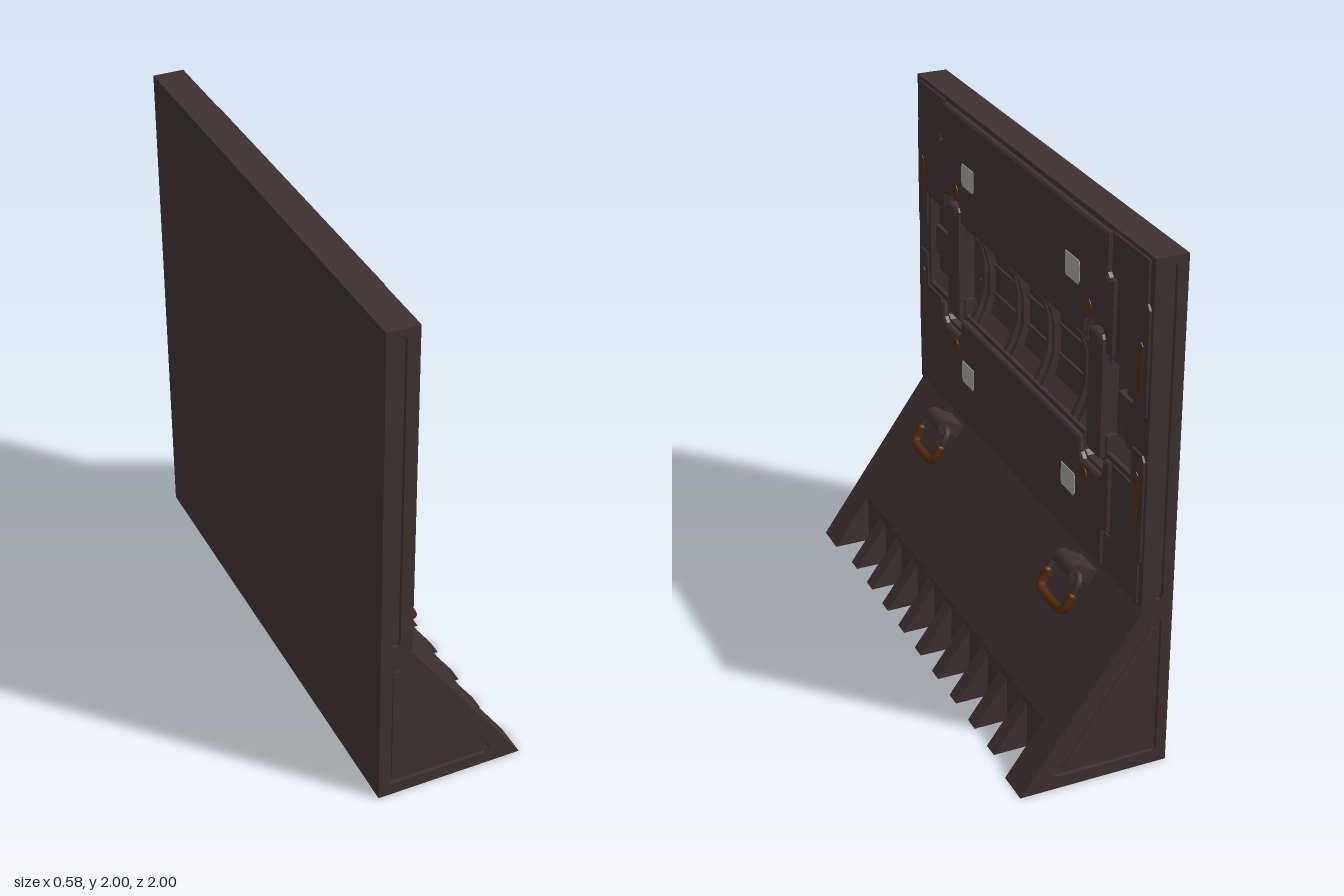
import * as THREE from 'three';

const mat = (name, color) => {
  const m = new THREE.MeshStandardMaterial({ color });
  m.name = name;
  return m;
};

export function createModel() {
  const group = new THREE.Group();
  group.name = 'barrierShield';
  const steel = mat('dark steel', 0x3d3132);
  const orange = mat('burnt orange', 0x502b0c);
  const light = mat('light grey', 0xa09d9b);

  const add = (name, geo, m = steel, parent = group) => {
    const mesh = new THREE.Mesh(geo, m);
    mesh.name = name;
    parent.add(mesh);
    return mesh;
  };
  const shapeOf = (pts) => new THREE.Shape(pts.map(([x, y]) => new THREE.Vector2(x, y)));
  const box = (name, x0, x1, y0, y1, z0, z1, m) =>
    add(name, new THREE.BoxGeometry(x1 - x0, y1 - y0, z1 - z0)
      .translate((x0 + x1) / 2, (y0 + y1) / 2, (z0 + z1) / 2), m);
  // side profile (x, y) stretched from z0 to z1
  const along = (name, pts, z0, z1, holes = []) => {
    const s = shapeOf(pts);
    s.holes = holes.map(shapeOf);
    return add(name, new THREE.ExtrudeGeometry(s, { depth: z1 - z0, bevelEnabled: false }).translate(0, 0, z0));
  };
  // face outline (-z, y) thickened from x0 to x1, optionally with a bevelled front
  const plate = (name, pts, x0, x1, m = steel, holes = [], bevel = 0) => {
    const s = shapeOf(pts);
    s.holes = holes.map(shapeOf);
    const geo = new THREE.ExtrudeGeometry(s, {
      depth: x1 - x0 - bevel, bevelEnabled: bevel > 0, bevelThickness: bevel,
      bevelSize: bevel, bevelOffset: -bevel, bevelSegments: 1, curveSegments: 8,
    });
    return add(name, geo.rotateY(Math.PI / 2).translate(x0, 0, 0), m);
  };
  const flipX = (pts) => pts.map(([x, y]) => [-x, y]).reverse();
  const flipY = (pts) => pts.map(([x, y]) => [x, 2.67 - y]).reverse();

  const BACK = -0.29, FACE = -0.168, FLOOR = -0.26, END = 0.985;

  // wall: back sheet plus front layer pierced by the central recess
  box('backSheet', BACK, FLOOR, 0, 2, -END, END);
  const recessTop = [[-0.88, 1.52], [-0.71, 1.52], [-0.7, 1.59], [-0.68, 1.605], [-0.56, 1.605], [-0.54, 1.59], [-0.53, 1.52]];
  const topHalf = [...recessTop, ...flipX(recessTop)];
  plate('wallFace', [[-END, 0.67], [END, 0.67], [END, 2], [-END, 2]], FLOOR, FACE, steel,
    [[...topHalf, ...topHalf.map(([x, y]) => [x, 2.67 - y]).reverse()]]);

  // wedge foot with a stepped front edge
  const slopeX = (y) => 0.29 - y * 0.47 / 0.67;
  along('wedgeFoot', [[FLOOR, 0], [0.14, 0], [0.14, 0.214], [-0.18, 0.67], [FLOOR, 0.67]], -END, END);
  for (const s of [-1, 1]) {
    const a = s * 0.87, b = s * END;
    along('wedgeEndBlock', [[0.14, 0], [0.29, 0], [0.14, 0.214]], Math.min(a, b), Math.max(a, b));
  }
  for (let i = -4; i <= 4; i++) {
    along('footTooth', [[0.14, 0], [0.272, 0], [0.14, 0.185]], i * 0.175 - 0.031, i * 0.175 + 0.031);
  }

  // end frames with a sunken triangle and a long groove
  const outline = [[BACK, 0], [0.29, 0], [-0.18, 0.67], [FACE, 0.67], [FACE, 2], [BACK, 2]];
  const triangle = [[-0.25, 0.06], [-0.24, 0.05], [0.145, 0.05], [0.162, 0.065], [0.158, 0.09],
    [-0.195, 0.605], [-0.21, 0.62], [-0.24, 0.62], [-0.25, 0.61]];
  const groove = [[-0.25, 0.715], [-0.242, 0.7], [-0.223, 0.7], [-0.215, 0.715],
    [-0.215, 1.955], [-0.223, 1.97], [-0.242, 1.97], [-0.25, 1.955]];
  along('leftEndFrame', outline, END, 1, [triangle, groove]);
  along('rightEndFrame', outline, -1, -END, [triangle, groove]);
  for (const s of [-1, 1]) {
    const z0 = s > 0 ? 0.98 : -0.992, z1 = s > 0 ? 0.992 : -0.98;
    along('endInset', [[-0.235, 0.075], [0.125, 0.075], [-0.21, 0.575], [-0.235, 0.575]], z0, z1);
  }

  // raised panels above and below the recess
  const panelHalf = [[-0.7, 1.98], [-0.7, 1.835], [-0.715, 1.82], [-0.745, 1.82], [-0.745, 1.54], [-0.715, 1.54],
    [-0.705, 1.6], [-0.685, 1.62], [-0.555, 1.62], [-0.535, 1.6], [-0.525, 1.54]];
  const panel = [...panelHalf, ...flipX(panelHalf)];
  plate('upperPanel', panel, FACE - 0.005, -0.145, steel, [], 0.008);
  plate('lowerPanel', flipY(panel), FACE - 0.005, -0.145, steel, [], 0.008);

  // thin side plates
  const side = [[-0.97, 1.4], [-0.9, 1.4], [-0.9, 1.54], [-0.76, 1.54], [-0.76, 1.835], [-0.72, 1.835],
    [-0.72, 1.985], [-0.97, 1.985], [-0.97, 1.83], [-0.985, 1.81], [-0.985, 1.42]];
  for (const p of [side, flipX(side)]) {
    plate('upperSidePlate', p, FACE - 0.003, -0.16);
    plate('lowerSidePlate', flipY(p), FACE - 0.003, -0.16);
  }

  // recess trough with paired ribs
  along('recessTrough', [[-0.27, 1.16], [-0.175, 1.16], [-0.222, 1.2], [-0.245, 1.28], [-0.245, 1.4],
    [-0.235, 1.48], [-0.18, 1.52], [-0.27, 1.52]], -0.88, 0.88);
  for (const c of [-0.445, -0.135, 0.135, 0.445]) {
    for (const d of [-0.026, 0.026]) {
      along('recessRib', [[-0.25, 1.16], [-0.17, 1.16], [-0.195, 1.21], [-0.218, 1.28], [-0.218, 1.4],
        [-0.2, 1.47], [-0.175, 1.51], [-0.25, 1.51]], c + d - 0.01, c + d + 0.01);
    }
  }
  for (const y of [1.28, 1.4]) box('recessRail', -0.25, -0.235, y - 0.006, y + 0.006, -0.55, 0.55);

  for (const s of [-1, 1]) {
    const span = (name, x0, x1, y0, y1, a, b, m) =>
      box(name, x0, x1, y0, y1, Math.min(s * a, s * b), Math.max(s * a, s * b), m);
    // outer recess blocks
    span('recessBlock', -0.25, -0.205, 1.2, 1.48, 0.77, 0.88);
    span('recessInnerBlock', -0.25, -0.19, 1.28, 1.4, 0.73, 0.88);

    // clamp over the recess
    const c = -s * 0.62;
    const arm = [[-0.05, 1.11], [0.05, 1.11], [0.05, 1.57], [0.04, 1.585], [-0.04, 1.585], [-0.05, 1.57]]
      .map(([u, y]) => [u + c, y]);
    plate('clampArm', arm, -0.22, -0.15, steel, [], 0.008);
    span('clampFoot', -0.26, -0.178, 1.09, 1.2, 0.555, 0.685);
    span('clampHead', -0.26, -0.185, 1.48, 1.59, 0.555, 0.685);

    // painted slots, dots and lamps
    for (const y of [1.58, 1.095]) {
      const u = -s * 0.94;
      plate('orangeSlot', [[-0.012, -0.09], [0, -0.1], [0.012, -0.09], [0.012, 0.09], [0, 0.1], [-0.012, 0.09]]
        .map(([a, b]) => [u + a, y + b]), -0.164, -0.157, orange);
    }
    for (const y of [1.665, 1.005]) {
      add('orangeDot', new THREE.CylinderGeometry(0.027, 0.027, 0.006, 20)
        .rotateZ(Math.PI / 2).translate(-0.145, y, s * 0.575), orange);
    }
    for (const y of [1.755, 0.92]) {
      plate('lamp', [[-0.047, -0.045], [0.05, -0.045], [0.056, -0.03], [0.056, 0.045], [-0.05, 0.045], [-0.056, 0.03], [-0.056, -0.03]]
        .map(([a, b]) => [s * (a - 0.453), y + b]).sort(() => 0), -0.149, -0.142, light);
    }

    // hinged tie ring on the slope
    const ring = new THREE.Group();
    ring.name = 'tieRing';
    ring.position.z = s * 0.605;
    group.add(ring);
    const lug = add('ringLug', new THREE.BoxGeometry(0.11, 0.055, 0.13), steel, ring);
    lug.position.set(-0.125, 0.635, 0);
    lug.rotation.z = 0.5;
    add('ringHinge', new THREE.CylinderGeometry(0.033, 0.033, 0.13, 16)
      .rotateX(Math.PI / 2).translate(-0.083, 0.657, 0), steel, ring);
    // t runs from the hinge (0) to the tip of the ring (1)
    const at = (t, z) => new THREE.Vector3(-0.083 + 0.075 * t, 0.657 - 0.128 * t, z);
    const bar = (name, pts, r, m) => add(name, new THREE.TubeGeometry(
      new THREE.CatmullRomCurve3(pts.map(([t, z]) => at(t, z)), false, 'centripetal'), 28, r, 8), m, ring);
    bar('ringBar', [[0.6, -0.1], [0.2, -0.1], [0.05, -0.085], [0, -0.06], [0, 0.06], [0.05, 0.085], [0.2, 0.1], [0.6, 0.1]], 0.012, steel);
    bar('ringGrip', [[0.55, -0.1], [0.8, -0.1], [0.95, -0.09], [1, -0.07], [1, 0.07], [0.95, 0.09], [0.8, 0.1], [0.55, 0.1]], 0.018, orange);
    for (const z of [-0.1, 0.1]) {
      const cap = add('gripEnd', new THREE.SphereGeometry(0.018, 10, 8), orange, ring);
      cap.position.copy(at(0.55, z));
    }
  }
  return group;
}
